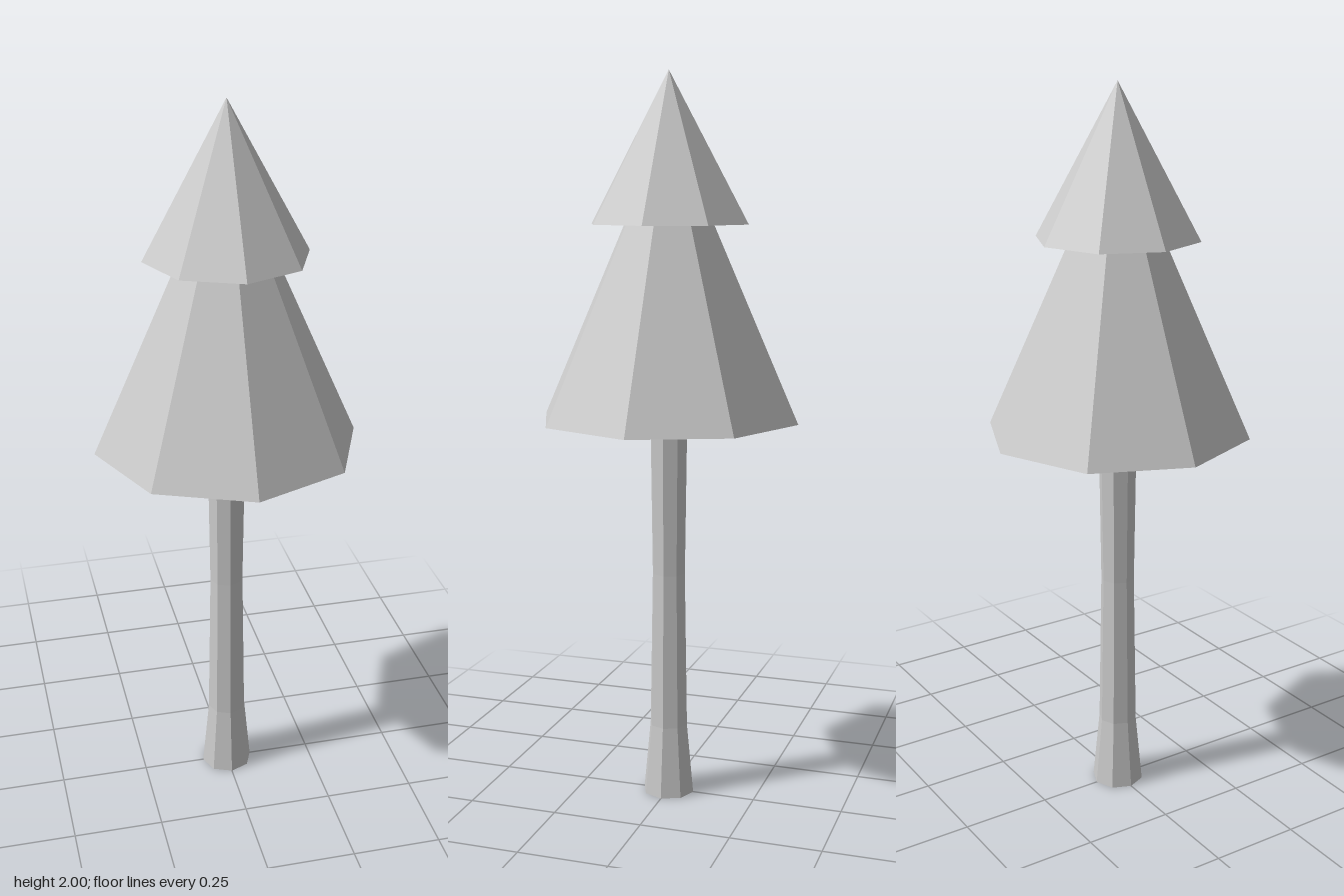
import * as THREE from 'three';

const SIDES = 8;

// Eight-sided solid turned from [radius, height] pairs, bottom to top
function turned(name, profile, material) {
  const points = profile.map(([r, y]) => new THREE.Vector2(r, y));
  const mesh = new THREE.Mesh(new THREE.LatheGeometry(points, SIDES), material);
  mesh.name = name;
  return mesh;
}

export function createModel() {
  const tree = new THREE.Group();
  tree.name = 'tree';
  const material = new THREE.MeshStandardMaterial({ color: 0xcccccc, flatShading: true });

  // Trunk: flared foot, slightly waisted in the middle
  tree.add(turned('trunk', [
    [0, 0], [0.073, 0], [0.054, 0.2], [0.047, 0.64], [0.053, 1.08], [0, 1.08],
  ], material));

  // Two tiers of foliage, the lower one running up inside the upper one
  tree.add(turned('lowerFoliage', [[0, 1.075], [0.362, 1.075], [0, 1.88]], material));
  tree.add(turned('upperFoliage', [[0, 1.6], [0.221, 1.6], [0, 2]], material));

  return tree;
}
